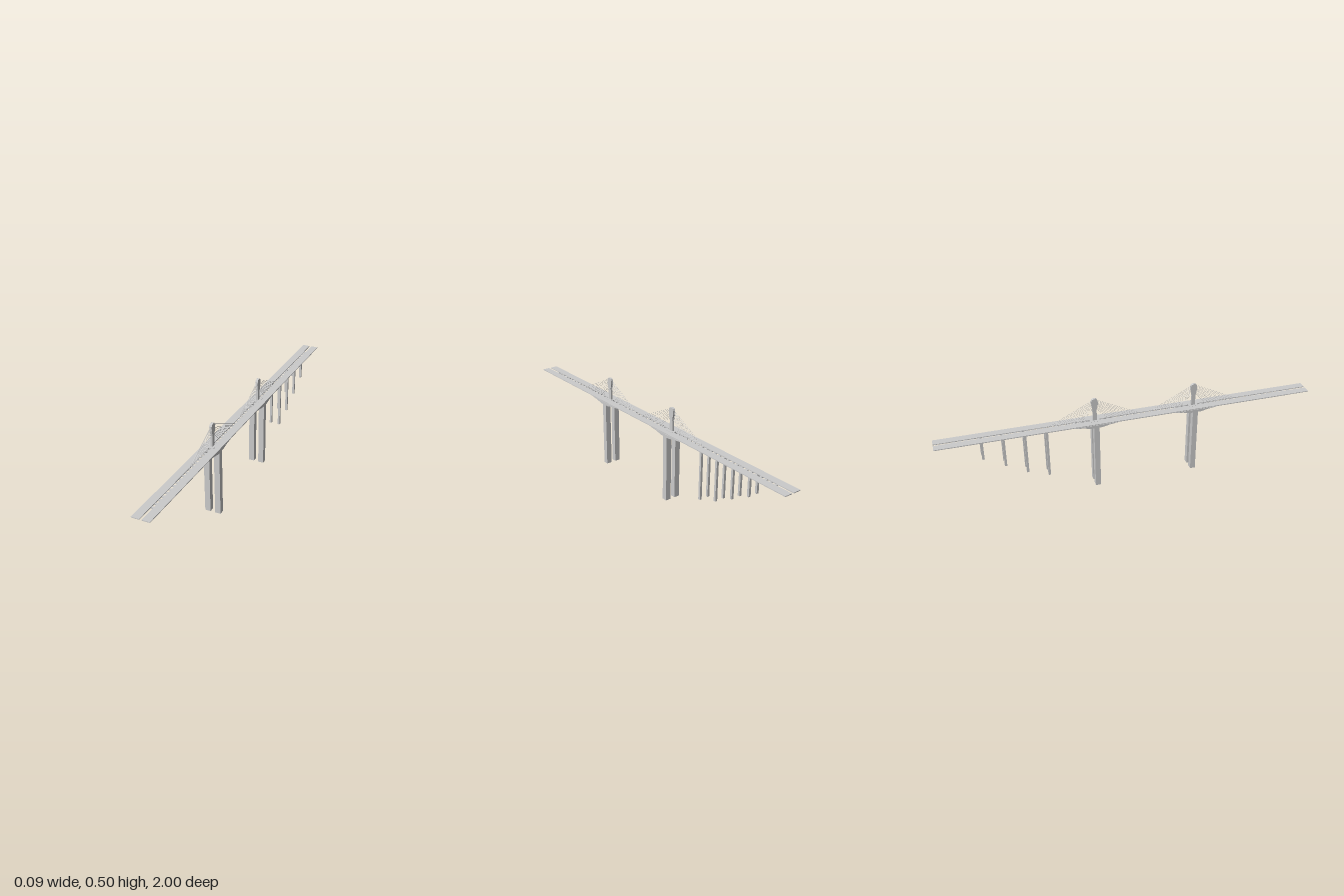
import * as THREE from 'three';

const TOWERS = [0.345, -0.19];
const material = new THREE.MeshStandardMaterial({ color: 0xcccccc, flatShading: true, side: THREE.DoubleSide });

export function createModel() {
  const model = new THREE.Group();

  const add = (parent, name, geometry) => {
    const mesh = new THREE.Mesh(geometry, material);
    mesh.name = name;
    parent.add(mesh);
    return mesh;
  };

  // Box given by its limits on each axis
  const box = (parent, name, x0, x1, y0, y1, z0, z1) => {
    const mesh = add(parent, name, new THREE.BoxGeometry(x1 - x0, y1 - y0, z1 - z0));
    mesh.position.set((x0 + x1) / 2, (y0 + y1) / 2, (z0 + z1) / 2);
    return mesh;
  };

  // Side profile of [z, y] points, extruded across x around a centre
  const profile = (parent, name, points, xCentre, width) => {
    const shape = new THREE.Shape(points.map(([z, y]) => new THREE.Vector2(z, y)));
    const geometry = new THREE.ExtrudeGeometry(shape, { depth: width, bevelEnabled: false });
    geometry.translate(0, 0, -width / 2);
    geometry.rotateY(-Math.PI / 2);
    geometry.translate(xCentre, 0, 0);
    return add(parent, name, geometry);
  };

  // Twin road decks, each with a girder below
  const deck = new THREE.Group();
  deck.name = 'deck';
  model.add(deck);
  for (const s of [-1, 1]) {
    box(deck, 'roadSlab', s * 0.026 - 0.02, s * 0.026 + 0.02, 0.376, 0.38, -1, 1);
    profile(deck, 'girder', [[-0.96, 0.376], [-0.94, 0.371], [0.87, 0.371], [0.9, 0.376]], s * 0.026, 0.026);
  }

  // Cross beams bridging the gap between the decks
  for (let z = -0.9; z <= 0.901; z += 0.03) {
    box(deck, 'crossBeam', -0.014, 0.014, 0.372, 0.377, z - 0.006, z + 0.006);
  }

  // Towers: legs, haunches, pylon and cable fan
  for (const z of TOWERS) {
    const tower = new THREE.Group();
    tower.name = 'tower';
    tower.position.z = z;
    model.add(tower);

    for (const s of [-1, 1]) {
      box(tower, 'leg', s * 0.028 - 0.015, s * 0.028 + 0.015, 0, 0.358, -0.014, 0.014);
      profile(tower, 'haunch', [
        [-0.12, 0.372], [-0.07, 0.366], [-0.03, 0.357], [0.03, 0.357], [0.07, 0.366], [0.12, 0.372],
      ], s * 0.028, 0.03);
    }
    box(tower, 'pylonBase', -0.018, 0.018, 0.36, 0.381, -0.025, 0.025);

    // Slim shaft with a wider, rounded head
    profile(tower, 'pylonShaft', [
      [-0.011, 0.375], [0.011, 0.375], [0.01, 0.46], [-0.01, 0.46],
    ], 0, 0.01);
    profile(tower, 'pylonHead', [
      [-0.01, 0.44], [0.01, 0.44], [0.017, 0.472], [0.017, 0.492], [0.013, 0.501],
      [0.005, 0.505], [-0.005, 0.505], [-0.013, 0.501], [-0.017, 0.492], [-0.017, 0.472],
    ], 0, 0.013);

    // Stay cables, fanned to both sides
    for (const s of [-1, 1]) {
      for (let i = 0; i < 10; i++) {
        const t = i / 9;
        const path = new THREE.LineCurve3(
          new THREE.Vector3(0, 0.442 + 0.053 * t, s * 0.012),
          new THREE.Vector3(0, 0.376, s * (0.075 + 0.175 * t)),
        );
        add(tower, 'stayCable', new THREE.TubeGeometry(path, 1, 0.0007, 5));
      }
    }
  }

  // Approach piers, shortening with the rising bank
  const piers = [[-0.445, 0.11], [-0.555, 0.15], [-0.663, 0.21], [-0.77, 0.27]];
  for (const [z, foot] of piers) {
    for (const s of [-1, 1]) {
      box(model, 'approachPier', s * 0.025 - 0.006, s * 0.025 + 0.006, foot, 0.373, z - 0.006, z + 0.006);
    }
  }

  return model;
}
